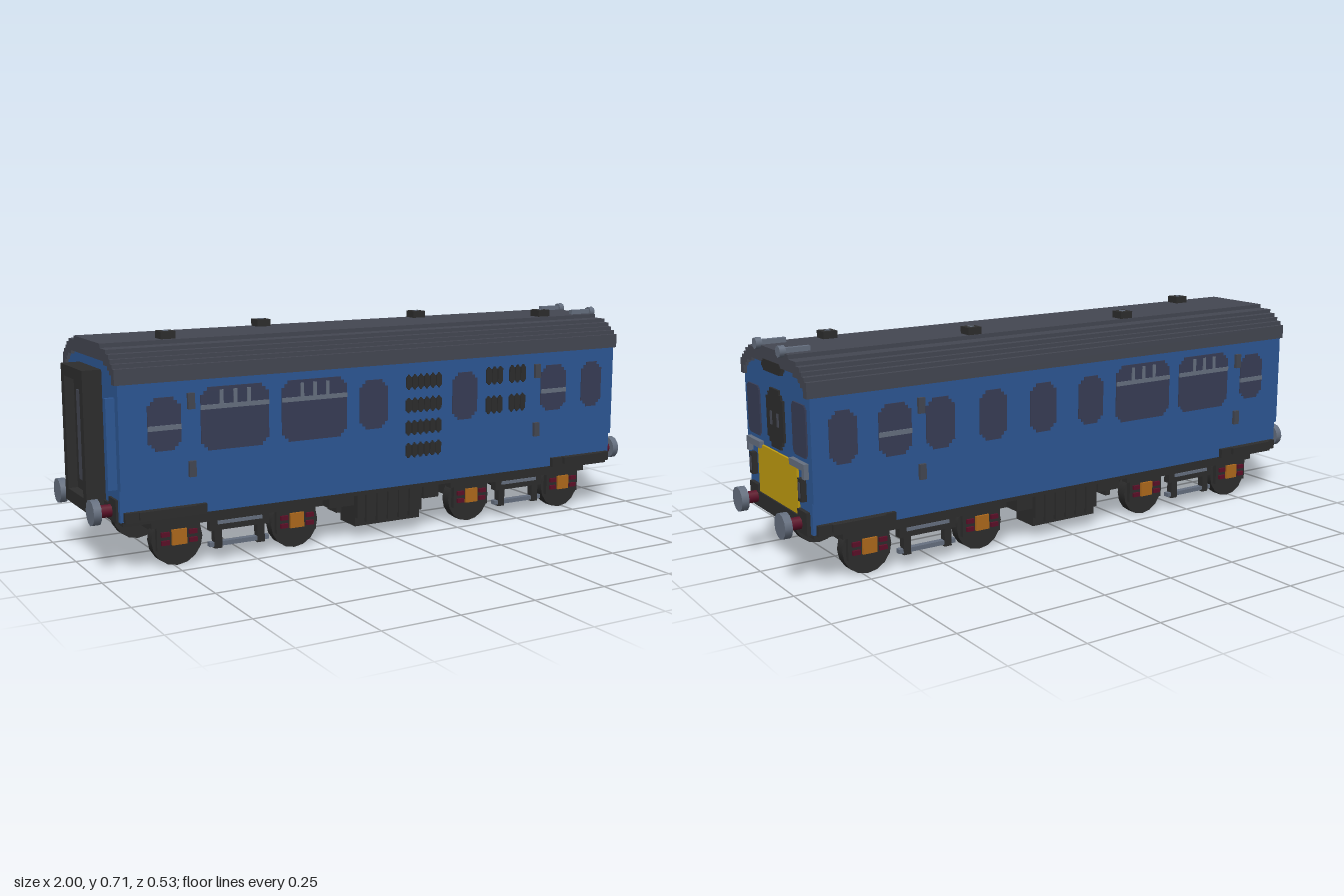
import * as THREE from 'three';

const mat = (name, color) => Object.assign(new THREE.MeshStandardMaterial({ color }), { name });

export function createModel() {
  const blue = mat('body blue', 0x2d5896), roofGrey = mat('roof grey', 0x444752);
  const dark = mat('underframe black', 0x2d2d2d), glass = mat('window glass', 0x383d56);
  const steel = mat('steel grey', 0x667080), yellow = mat('warning yellow', 0xc29d10);
  const red = mat('buffer red', 0x5c1028), orange = mat('axle box orange', 0xb06a1c);

  const model = new THREE.Group();
  model.name = 'railcar';
  const coach = new THREE.Group();
  coach.name = 'coach';
  coach.position.z = -0.005;
  model.add(coach);

  const add = (name, geometry, material, x = 0, y = 0, z = 0) => {
    const mesh = new THREE.Mesh(geometry, material);
    mesh.name = name;
    mesh.position.set(x, y, z);
    coach.add(mesh);
    return mesh;
  };
  // box given by its limits on each axis
  const box = (name, m, x0, x1, y0, y1, z0, z1) =>
    add(name, new THREE.BoxGeometry(x1 - x0, y1 - y0, z1 - z0), m, (x0 + x1) / 2, (y0 + y1) / 2, (z0 + z1) / 2);
  // the same box on both sides of the coach
  const pair = (name, m, x0, x1, y0, y1, z0, z1) => {
    box(name, m, x0, x1, y0, y1, z0, z1);
    box(name, m, x0, x1, y0, y1, -z1, -z0);
  };
  // cross-section (half width, height) mirrored and drawn out along x
  const mirrored = (half) => [...half, ...half.map(([w, h]) => [-w, h]).reverse()]
    .map(([w, h]) => new THREE.Vector2(w, h));
  const along = (name, m, points, x0, x1) => {
    const g = new THREE.ExtrudeGeometry(new THREE.Shape(points), { depth: x1 - x0, bevelEnabled: false });
    g.rotateY(Math.PI / 2);
    return add(name, g, m, x0);
  };
  // thin plate with stepped corners
  const plate = (w, h, c, depth) => {
    const a = w / 2, b = h / 2;
    const q = [[a, b - c], [a - c / 2, b - c], [a - c / 2, b - c / 2], [a - c, b - c / 2], [a - c, b]];
    const p = [...q, ...q.map(([x, y]) => [-x, y]).reverse()];
    p.push(...p.map(([x, y]) => [-x, -y]));
    return new THREE.ExtrudeGeometry(new THREE.Shape(p.map(([x, y]) => new THREE.Vector2(x, y))),
      { depth, bevelEnabled: false });
  };
  const endPlate = (name, m, z0, z1, y0, y1, c, x, depth) => {
    const g = plate(z1 - z0, y1 - y0, c, depth);
    g.rotateY(Math.PI / 2);
    return add(name, g, m, x, (y0 + y1) / 2, (z0 + z1) / 2);
  };

  // body shell
  const arch = [[0.242, 0.575], [0.222, 0.575], [0.222, 0.602], [0.205, 0.602], [0.205, 0.614],
    [0.19, 0.614], [0.19, 0.625], [0.155, 0.625], [0.155, 0.636]];
  along('body', blue, mirrored([[0.232, 0.165], [0.232, 0.262], [0.242, 0.262], ...arch]), -0.93, 0.925);

  // stepped roof
  const roofOuter = [[0.246, 0.575], [0.246, 0.622], [0.232, 0.622], [0.232, 0.635], [0.215, 0.635], [0.215, 0.647],
    [0.201, 0.647], [0.201, 0.66], [0.178, 0.66], [0.178, 0.672], [0.126, 0.672], [0.126, 0.685]];
  const roofInner = mirrored(arch.slice(1)).reverse();
  along('roof', roofGrey, [...mirrored(roofOuter), ...roofInner], -0.94, 0.935);
  for (const [x, z] of [[-0.72, 0.088], [-0.31, -0.1], [0.3, -0.1], [0.71, 0.088]]) {
    box('roofVent', dark, x - 0.024, x + 0.024, 0.68, 0.708, z - 0.024, z + 0.024);
    box('ventCap', steel, x - 0.008, x + 0.008, 0.705, 0.71, z - 0.008, z + 0.008);
  }
  for (const z of [-0.088, 0.088]) {
    box('hornTube', steel, 0.85, 0.93, 0.683, 0.7, z - 0.008, z + 0.008);
    add('hornBell', new THREE.CylinderGeometry(0.018, 0.018, 0.02, 8).rotateZ(Math.PI / 2), steel, 0.94, 0.69, z);
  }

  // side windows: [centre x, width, kind]
  const common = [[-0.79, 0.105, 'bar'], [-0.562, 0.225, 'wide'], [-0.29, 0.23, 'wide'],
    [0.655, 0.11, 'bar'], [0.825, 0.09, '']];
  const sides = [[1, [[-0.075, 0.105, ''], [0.28, 0.1, '']]],
    [-1, [[-0.07, 0.1, ''], [0.12, 0.1, ''], [0.31, 0.1, ''], [0.5, 0.1, '']]]];
  for (const [s, extra] of sides) {
    const face = (name, m, x0, x1, y0, y1, t) =>
      box(name, m, x0, x1, y0, y1, s > 0 ? 0.24 : -0.242 - t, s > 0 ? 0.242 + t : -0.24);
    for (const [x, w, kind] of [...common, ...extra]) {
      const wide = kind === 'wide';
      const y0 = wide ? 0.357 : 0.37, y1 = wide ? 0.55 : 0.53;
      add('sideWindow', plate(w, y1 - y0, 0.022, 0.005), glass, x, (y0 + y1) / 2, s > 0 ? 0.24 : -0.245);
      if (kind === 'bar') face('windowBar', steel, x - w / 2, x + w / 2, 0.432, 0.447, 0.006);
      if (wide) {
        face('windowBar', steel, x - w / 2, x + w / 2, 0.483, 0.497, 0.006);
        for (const d of [-0.045, 0, 0.045])
          face('ventBar', steel, x + d - 0.006, x + d + 0.006, 0.497, 0.54, 0.006);
      }
    }
  }

  // louvre banks on the front side
  const louvres = (x0, n, step, rows, h) => {
    for (const y of rows) for (let i = 0; i < n; i++)
      add('louvreSlat', plate(step * 0.86, h, 0.008, 0.008), dark, x0 + (i + 0.5) * step, y, 0.24);
  };
  louvres(0.045, 6, 0.0235, [0.512, 0.435, 0.36, 0.285], 0.05);
  louvres(0.365, 3, 0.0235, [0.51, 0.41], 0.062);
  louvres(0.462, 3, 0.0235, [0.51, 0.41], 0.062);

  // door handles and footboards
  for (const x of [-0.71, 0.573]) for (const y of [0.31, 0.515])
    pair('grabHandle', roofGrey, x - 0.011, x + 0.011, y - 0.024, y + 0.024, 0.252, 0.263);
  for (const [x0, x1] of [[-0.88, -0.7], [0.7, 0.875]]) {
    pair('footboard', dark, x0, x1, 0.174, 0.197, 0.252, 0.263);
    pair('footboardBracket', dark, x0 - 0.04, x1 + 0.04, 0.163, 0.195, 0.2, 0.246);
  }

  // cab front
  for (const s of [-1, 1]) {
    const zc = s * 0.17;
    endPlate('cabWindow', glass, zc - 0.048, zc + 0.048, 0.392, 0.55, 0.01, 0.922, 0.008);
  }
  endPlate('cabDoor', dark, -0.062, 0.062, 0.38, 0.563, 0.028, 0.92, 0.012);
  for (const z of [-0.025, 0.025]) for (const d of [-0.004, 0.004])
    box('doorRail', roofGrey, 0.93, 0.935, 0.45, 0.492, z + d - 0.0015, z + d + 0.0015);
  endPlate('routeIndicator', dark, -0.073, 0.073, 0.612, 0.647, 0.012, 0.92, 0.017);
  box('warningPanel', yellow, 0.92, 0.932, 0.21, 0.367, -0.146, 0.146);
  pair('cabHandrail', steel, 0.92, 0.94, 0.357, 0.378, 0.111, 0.217);
  pair('cabHandrailEnd', steel, 0.92, 0.94, 0.332, 0.358, 0.2, 0.217);
  pair('lampHousing', dark, 0.92, 0.942, 0.26, 0.33, 0.172, 0.196);
  pair('lamp', roofGrey, 0.94, 0.945, 0.272, 0.318, 0.179, 0.189);

  // gangway at the rear end: frame with a recessed door
  const z = 0.105;
  pair('gangwaySide', dark, -0.99, -0.925, 0.175, 0.605, 0.075, z);
  box('gangwayTop', dark, -0.99, -0.925, 0.57, 0.605, -0.075, 0.075);
  box('gangwaySill', dark, -0.99, -0.925, 0.175, 0.215, -0.075, 0.075);
  box('gangwayDoor', dark, -0.96, -0.925, 0.215, 0.57, -0.075, 0.075);
  box('gangwayDoorPanel', roofGrey, -0.965, -0.958, 0.25, 0.53, -0.04, 0.04);
  pair('rearTrim', blue, -0.958, -0.925, 0.262, 0.535, 0.2, 0.215);

  // buffer beams and buffers
  for (const s of [-1, 1]) {
    const x = (a, b) => (s > 0 ? [a, b] : [-b, -a]);
    box('bufferBeam', dark, ...x(0.9, 0.937), 0.16, 0.21, -0.215, 0.215);
    pair('bufferMount', dark, ...x(0.9, 0.937), 0.2, 0.231, 0.15, 0.215);
    for (const bz of [-0.165, 0.165]) {
      add('bufferShank', new THREE.CylinderGeometry(0.02, 0.02, 0.05, 8).rotateZ(Math.PI / 2), red, s * 0.955, 0.19, bz);
      add('bufferHead', new THREE.CylinderGeometry(0.04, 0.04, 0.024, 12).rotateZ(Math.PI / 2), steel, s * 0.988, 0.19, bz);
    }
  }

  // floor and equipment boxes
  box('floor', dark, -0.92, 0.92, 0.15, 0.17, -0.225, 0.225);
  pair('equipmentBox', dark, -0.12, 0.13, 0.07, 0.155, 0.1, 0.215);
  pair('equipmentBase', dark, -0.12, 0.13, 0.04, 0.07, 0.1, 0.2);
  for (let i = 0; i < 5; i++)
    pair('coolingFin', dark, -0.09 + i * 0.042, -0.072 + i * 0.042, 0.055, 0.15, 0.21, 0.222);
  pair('smallBox', dark, -0.22, -0.13, 0.115, 0.155, 0.13, 0.21);
  pair('smallBoxLower', dark, -0.19, -0.17, 0.095, 0.12, 0.14, 0.2);
  pair('sideBox', dark, 0.14, 0.2, 0.105, 0.155, 0.13, 0.21);

  // bogies
  for (const c of [-0.54, 0.535]) {
    pair('bogieFrame', dark, c - 0.29, c + 0.29, 0.13, 0.157, 0.19, 0.217);
    pair('springPlank', dark, c - 0.1, c + 0.1, 0.098, 0.13, 0.19, 0.215);
    pair('tieBar', steel, c - 0.1, c + 0.1, 0.046, 0.06, 0.192, 0.212);
    pair('bolsterBar', steel, c - 0.075, c + 0.075, 0.117, 0.128, 0.205, 0.219);
    pair('hanger', dark, c - 0.085, c - 0.06, 0.04, 0.13, 0.19, 0.214);
    pair('hanger', dark, c + 0.06, c + 0.085, 0.04, 0.13, 0.19, 0.214);
    box('bolster', dark, c - 0.05, c + 0.05, 0.1, 0.155, -0.19, 0.19);
    for (const d of [-0.2, 0.2]) {
      const x = c + d;
      for (const s of [-1, 1])
        add('wheel', new THREE.CylinderGeometry(0.083, 0.083, 0.036, 16).rotateX(Math.PI / 2), dark, x, 0.083, s * 0.175);
      box('axle', dark, x - 0.03, x + 0.03, 0.075, 0.135, -0.175, 0.175);
      pair('axleGuard', dark, x - 0.07, x + 0.07, 0.055, 0.135, 0.19, 0.208);
      pair('axleBox', orange, x - 0.024, x + 0.024, 0.07, 0.118, 0.19, 0.216);
      for (const e of [-0.045, 0.045]) for (const y of [0.08, 0.106])
        pair('axleSpring', red, x + e - 0.013, x + e + 0.013, y - 0.007, y + 0.007, 0.19, 0.217);
    }
  }
  return model;
}
